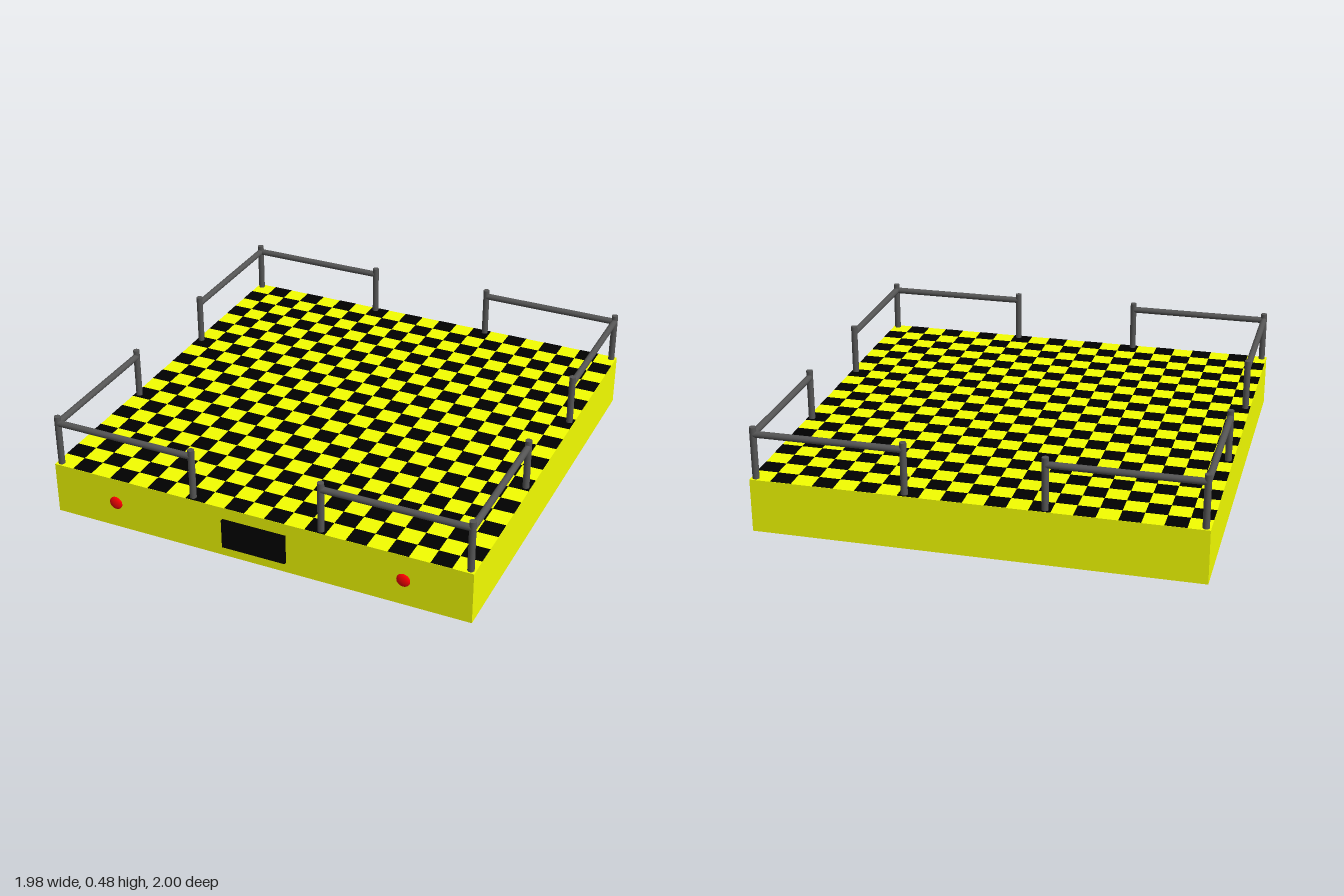
import * as THREE from 'three';
import { mergeGeometries } from 'three/addons/utils/BufferGeometryUtils.js';

const SIDE = 1.98, TOP = 0.245, TILES = 21, POST = 0.968, INNER = 0.303;

const paint = (color) => {
  const m = new THREE.MeshStandardMaterial();
  m.color.set(color);
  return m;
};

export function createModel() {
  const model = new THREE.Group();
  model.name = 'railedPlatform';
  // The deck sits slightly back to leave room for the front plate
  const body = new THREE.Group();
  body.name = 'platform';
  body.position.z = -0.01;
  model.add(body);

  const yellow = paint(0xf4ff00), black = paint(0x000000);
  const steel = paint(0x555555), red = paint(0xff0000);

  function add(name, geometry, material, x = 0, y = 0, z = 0, parent = body) {
    const mesh = new THREE.Mesh(geometry, material);
    mesh.name = name;
    mesh.position.set(x, y, z);
    parent.add(mesh);
    return mesh;
  }

  // Deck slab
  add('deck', new THREE.BoxGeometry(SIDE, TOP, SIDE), yellow, 0, TOP / 2, 0);

  // Dark squares of the checkered floor, with light corners
  const tile = SIDE / TILES, squares = [];
  for (let row = 0; row < TILES; row++) {
    for (let col = (row + 1) % 2; col < TILES; col += 2) {
      squares.push(new THREE.PlaneGeometry(tile, tile).rotateX(-Math.PI / 2)
        .translate((col - 10) * tile, 0, (row - 10) * tile));
    }
  }
  add('checkerSquares', mergeGeometries(squares), black, 0, TOP + 0.001, 0);

  // Corner railings: three posts and two bars each
  const postHeight = 0.238, span = POST - INNER, mid = (POST + INNER) / 2, barY = 0.45;
  const post = new THREE.CylinderGeometry(0.015, 0.015, postHeight, 16);
  const barX = new THREE.CylinderGeometry(0.015, 0.015, span, 16).rotateZ(Math.PI / 2);
  const barZ = new THREE.CylinderGeometry(0.015, 0.015, span, 16).rotateX(Math.PI / 2);
  for (const sx of [-1, 1]) {
    for (const sz of [-1, 1]) {
      const railing = new THREE.Group();
      railing.name = `${sz > 0 ? 'front' : 'back'}${sx > 0 ? 'Left' : 'Right'}Railing`;
      body.add(railing);
      for (const [x, z] of [[POST, POST], [INNER, POST], [POST, INNER]]) {
        add('post', post, steel, sx * x, TOP + postHeight / 2, sz * z, railing);
      }
      add('crossBar', barX, steel, sx * mid, barY, sz * POST, railing);
      add('sideBar', barZ, steel, sx * POST, barY, sz * mid, railing);
    }
  }

  // Front plate and shallow domed lamps
  add('frontPlate', new THREE.BoxGeometry(0.3, 0.138, 0.014), black, 0, 0.124, 0.993, model);
  const lamp = new THREE.SphereGeometry(0.031, 24, 16).scale(1, 1, 0.4);
  for (const s of [-1, 1]) {
    add(s > 0 ? 'leftLamp' : 'rightLamp', lamp, red, s * 0.685, 0.123, 0.98, model);
  }

  return model;
}
